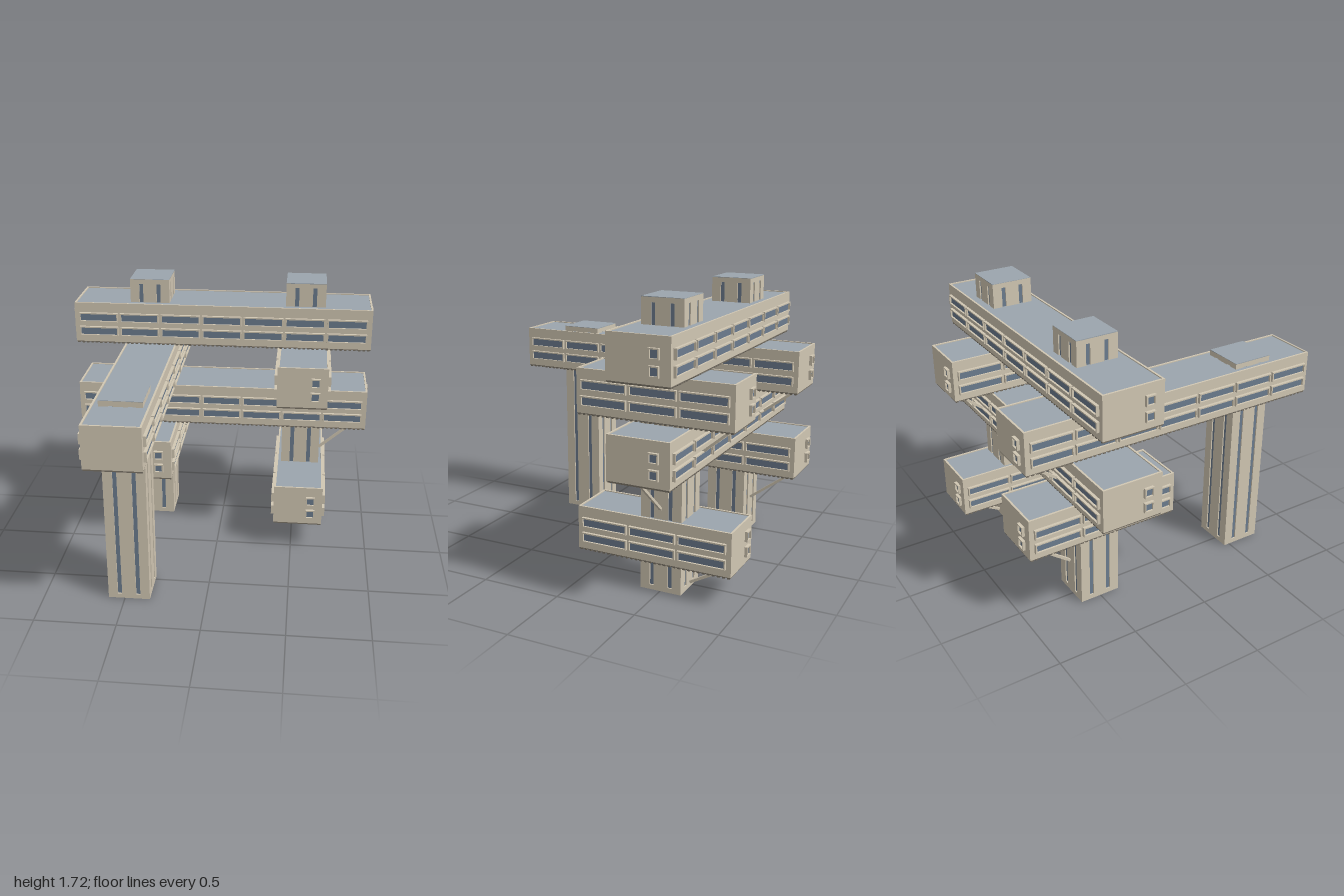
import * as THREE from 'three';
import { mergeGeometries } from 'three/addons/utils/BufferGeometryUtils.js';

const mat = (name, color) => {
  const m = new THREE.MeshStandardMaterial({ color });
  m.name = name;
  return m;
};

const boxAt = (w, h, d, x, y, z) => new THREE.BoxGeometry(w, h, d).translate(x, y, z);

// Rectangular panel with rectangular holes, extruded from z = 0 to z = depth
function panel(w, h, holes, depth) {
  const rect = (Type, cx, cy, rw, rh) => new Type([
    new THREE.Vector2(cx - rw / 2, cy - rh / 2), new THREE.Vector2(cx + rw / 2, cy - rh / 2),
    new THREE.Vector2(cx + rw / 2, cy + rh / 2), new THREE.Vector2(cx - rw / 2, cy + rh / 2)]);
  const shape = rect(THREE.Shape, 0, 0, w, h);
  for (const k of holes) shape.holes.push(rect(THREE.Path, ...k));
  return new THREE.ExtrudeGeometry(shape, { depth, bevelEnabled: false });
}

export function createModel() {
  const model = new THREE.Group();
  const concrete = mat('concrete', 0xd1c7b3);
  const darkConcrete = mat('darkConcrete', 0x7a7367);
  const roofGrey = mat('roofGrey', 0x9ba5ad);
  const glass = mat('glass', 0x6c7c8f);

  const add = (parent, name, geos, material) => {
    const mesh = new THREE.Mesh(mergeGeometries(geos.map((g) => (g.index ? g.toNonIndexed() : g))), material);
    mesh.name = name;
    parent.add(mesh);
  };

  // Service tower: four slotted walls around a hollow shaft, open below
  function tower(name, x, z, h) {
    const g = new THREE.Group();
    g.name = name;
    const w = 0.257, t = 0.01, walls = [], strips = [];
    for (let i = 0; i < 4; i++) {
      const holes = [-0.057, 0.057].map((s) => [s, 0, 0.026, h - 0.06]);
      walls.push(panel(w, h, holes, t).translate(0, h / 2, w / 2 - t).rotateY(i * Math.PI / 2));
      for (const [s] of holes) {
        strips.push(boxAt(0.028, h - 0.056, 0.016, s, h / 2, w / 2 - t - 0.006).rotateY(i * Math.PI / 2));
      }
    }
    add(g, 'towerWalls', walls, concrete);
    add(g, 'towerGlassStrips', strips, glass);
    add(g, 'towerRoof', [boxAt(w, 0.004, w, 0, h, 0)], roofGrey);
    g.position.set(x, 0, z);
    model.add(g);
  }

  // Window: projecting frame with the pane set back inside it, on a wall facing +z
  const windowParts = (w, h) => [
    panel(w, h, [[0, 0, w - 0.016, h - 0.016]], 0.018),
    boxAt(w - 0.014, h - 0.014, 0.008, 0, 0, 0.002)];

  // Beam block built along local x; ends lists which ends (+1, -1) have windows
  function block(name, { length, width, columns, ends, x, y, z, turn = 0 }) {
    const g = new THREE.Group();
    g.name = name;
    const h = 0.27, rim = 0.012, rows = [0.08, 0.174];
    const L = length, W = width;
    const shell = [
      boxAt(L, h - 0.018, W, 0, (h - 0.018) / 2 + 0.006, 0),
      boxAt(L, 0.02, rim, 0, h - 0.01, W / 2 - rim / 2),
      boxAt(L, 0.02, rim, 0, h - 0.01, -W / 2 + rim / 2),
      boxAt(rim, 0.02, W, L / 2 - rim / 2, h - 0.01, 0),
      boxAt(rim, 0.02, W, -L / 2 + rim / 2, h - 0.01, 0)];
    add(g, 'blockShell', shell, concrete);
    add(g, 'blockRoof', [boxAt(L - 2 * rim, 0.006, W - 2 * rim, 0, h - 0.009, 0)], roofGrey);

    // Dark soffit with ribs across it
    const soffit = [boxAt(L - 0.004, 0.006, W - 0.004, 0, 0.004, 0)];
    const count = Math.round(L / 0.03);
    for (let i = 0; i < count; i++) {
      soffit.push(boxAt(0.016, 0.01, W - 0.006, (i + 0.5) * L / count - L / 2, -0.001, 0));
    }
    add(g, 'ribbedSoffit', soffit, darkConcrete);

    const frames = [], panes = [];
    const place = (w, hgt, px, py, pz, ry) => {
      const [f, p] = windowParts(w, hgt);
      frames.push(f.rotateY(ry).translate(px, py, pz));
      panes.push(p.rotateY(ry).translate(px, py, pz));
    };
    const pitch = (L - 0.045) / columns;
    for (const row of rows) {
      for (let c = 0; c < columns; c++) {
        const px = (c - (columns - 1) / 2) * pitch;
        place(pitch - 0.015, 0.062, px, row, W / 2, 0);
        place(pitch - 0.015, 0.062, px, row, -W / 2, Math.PI);
      }
      // End windows sit towards the right of each end as seen from outside
      for (const e of ends) place(0.06, 0.062, e * L / 2, row, -e * W * 0.255, e * Math.PI / 2);
    }
    add(g, 'windowFrames', frames, concrete);
    add(g, 'windowPanes', panes, glass);
    g.position.set(x, y, z);
    g.rotation.y = turn;
    model.add(g);
  }

  // Slim square diagonal brace between two points
  function brace(from, to) {
    const mesh = new THREE.Mesh(
      new THREE.BoxGeometry(0.016, 0.016, new THREE.Vector3(...from).distanceTo(new THREE.Vector3(...to))), concrete);
    mesh.name = 'brace';
    mesh.position.set(...from).lerp(new THREE.Vector3(...to), 0.5);
    mesh.lookAt(...to);
    model.add(mesh);
  }

  tower('rearRightTower', -0.478, -0.503, 1.718);
  tower('rearLeftTower', 0.54, -0.503, 1.718);
  tower('frontRightTower', -0.473, 0.592, 1.318);

  // Two long blocks across the rear towers
  for (const [name, y] of [['upperCrossBlock', 1.3], ['lowerCrossBlock', 0.74]]) {
    block(name, { length: 1.94, width: 0.38, columns: 7, ends: [1, -1], x: 0, y, z: -0.504 });
  }

  // Blocks running front to back; local +x becomes the rear end
  const turn = Math.PI / 2;
  block('longSideBlock', { length: 1.98, width: 0.34, columns: 7, ends: [1], x: -0.475, y: 1.02, z: 0.01, turn });
  block('lowRightBlock', { length: 0.98, width: 0.34, columns: 3, ends: [1, -1], x: -0.475, y: 0.463, z: -0.49, turn });
  block('highLeftBlock', { length: 0.97, width: 0.32, columns: 3, ends: [1, -1], x: 0.54, y: 1.02, z: -0.462, turn });
  block('lowLeftBlock', { length: 0.97, width: 0.32, columns: 3, ends: [1, -1], x: 0.54, y: 0.183, z: -0.462, turn });

  // Braces under the lower cross block and the rear overhangs
  brace([0.94, 0.745, -0.5], [0.67, 0.512, -0.5]);
  brace([-0.945, 0.745, -0.5], [-0.608, 0.51, -0.5]);
  brace([-0.475, 1.025, -0.95], [-0.475, 0.79, -0.635]);
  brace([0.54, 1.025, -0.915], [0.54, 0.79, -0.635]);
  brace([-0.475, 0.468, -0.95], [-0.475, 0.235, -0.635]);
  brace([0.54, 0.19, -0.915], [0.54, 0.035, -0.635]);

  return model;
}
